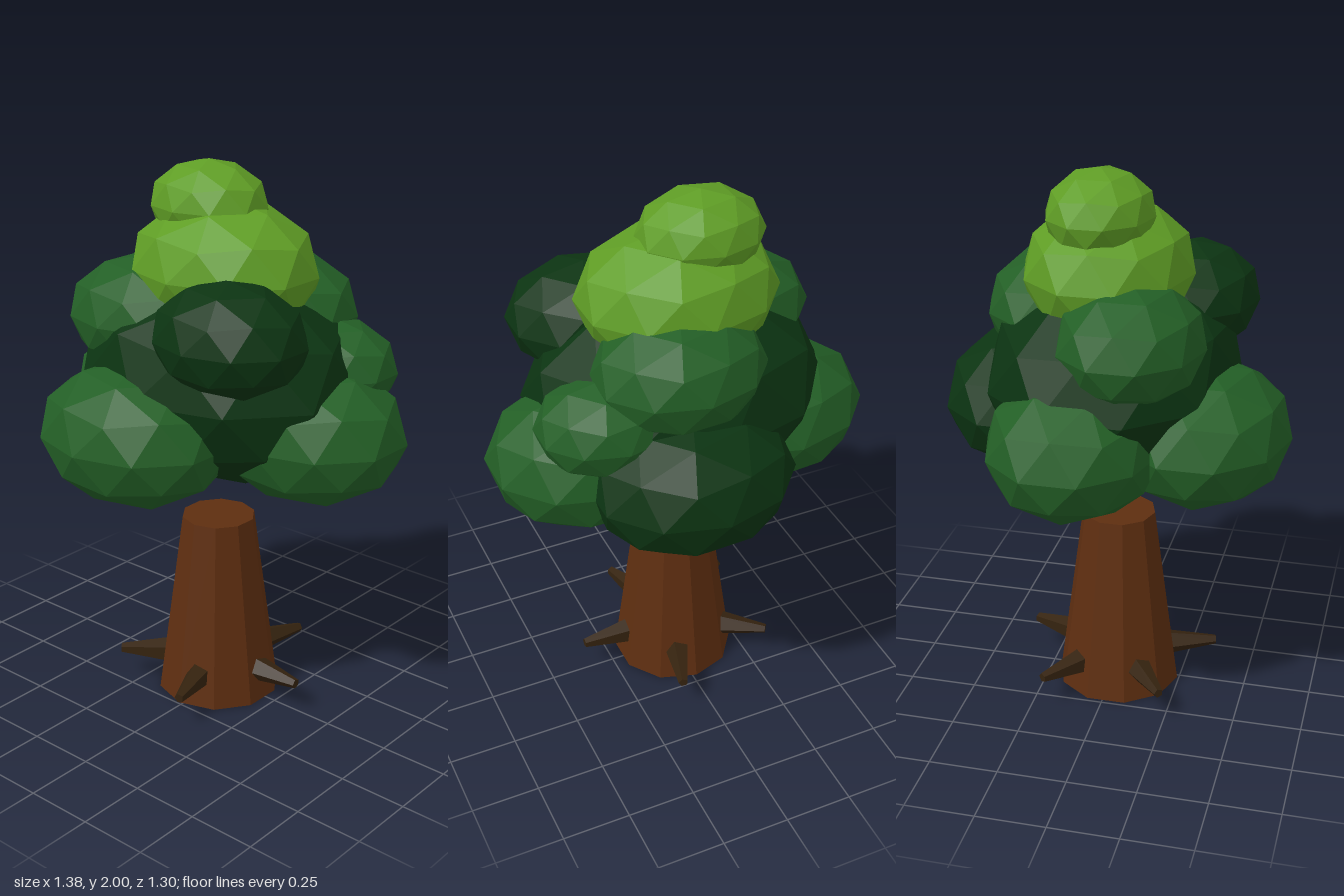
import * as THREE from 'three';

const mat = (name, color) => new THREE.MeshStandardMaterial({ name, color, flatShading: true });

export function createModel() {
  const tree = new THREE.Group();
  tree.name = 'tree';

  const bark = mat('bark brown', 0x5e2e10);
  const root = mat('dark root brown', 0x35230f);
  const dark = mat('dark green', 0x0c3412);
  const mid = mat('mid green', 0x235f26);
  const light = mat('light green', 0x5f9d25);

  const add = (name, geometry, material, parent = tree) => {
    const mesh = new THREE.Mesh(geometry, material);
    mesh.name = name;
    parent.add(mesh);
    return mesh;
  };

  // Base: tapered ten-sided trunk with five root spikes around it
  const base = new THREE.Group();
  base.name = 'base';
  base.position.set(-0.015, 0, 0.013);
  tree.add(base);
  add('trunk', new THREE.CylinderGeometry(0.136, 0.23, 0.7, 10), bark, base).position.y = 0.35;

  const inner = 0.15, outer = 0.375;
  const spike = new THREE.CylinderGeometry(0.018, 0.055, outer - inner, 5);
  spike.rotateZ(-Math.PI / 2); // narrow end towards +x
  spike.translate((inner + outer) / 2, 0.12, 0);
  for (let i = 0; i < 5; i++) {
    add('rootSpike', spike, root, base).rotation.y = (i * Math.PI * 2) / 5;
  }

  // Leaf clump: a faceted ball with a corner at its top, squashed to one shared proportion
  const ball = new THREE.IcosahedronGeometry(1, 1);
  ball.rotateZ(-Math.atan(2 / (1 + Math.sqrt(5))));
  const clumps = [
    // name, colour, x, y, z, size
    ['crownCore', dark, -0.013, 1.25, 0, 0.55],
    ['lowerClumpFront', mid, -0.114, 1.092, 0.34, 0.37],
    ['lowerClumpRight', mid, -0.342, 1.1, -0.065, 0.37],
    ['lowerClumpLeft', mid, 0.338, 1.1, -0.058, 0.37],
    ['lowerClumpBack', dark, 0.076, 1.1, -0.343, 0.37],
    ['middleClumpFrontRight', mid, -0.26, 1.448, 0.11, 0.31],
    ['middleClumpFrontLeft', dark, 0.222, 1.475, 0.232, 0.288],
    ['middleClumpBack', mid, 0.068, 1.46, -0.222, 0.31],
    ['smallClumpLeft', mid, 0.325, 1.3, -0.2, 0.252],
    ['upperClump', light, -0.016, 1.63, -0.022, 0.362],
    ['topClump', light, -0.095, 1.842, -0.033, 0.228],
  ];
  const crown = new THREE.Group();
  crown.name = 'crown';
  tree.add(crown);
  for (const [name, material, x, y, z, size] of clumps) {
    const clump = add(name, ball, material, crown);
    clump.position.set(x, y, z);
    clump.scale.set(size, size * 0.69, size * 0.84);
  }

  return tree;
}
